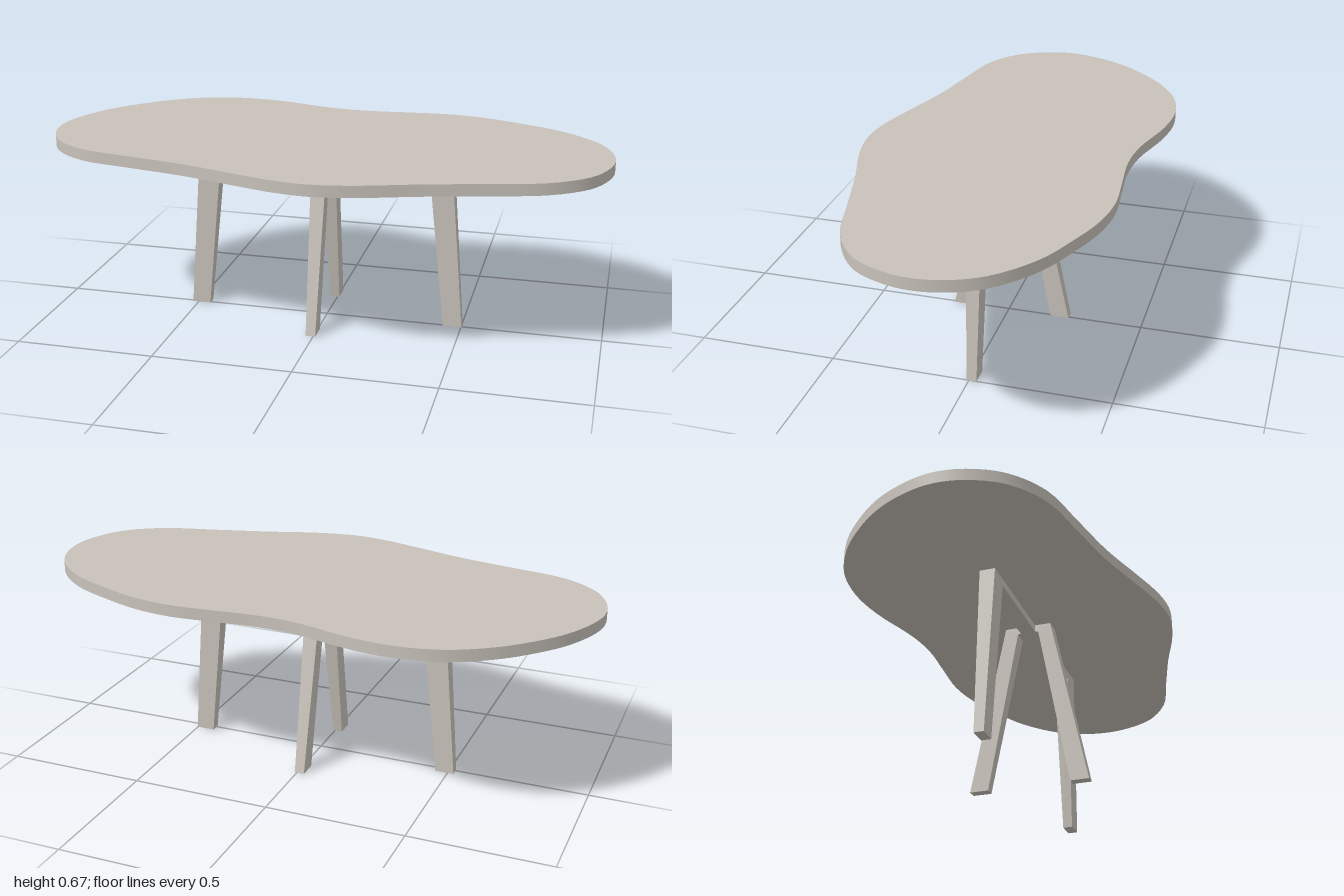
import * as THREE from 'three';
import { toCreasedNormals } from 'three/addons/utils/BufferGeometryUtils.js';

const TOP_Y = 0.667, UNDER_Y = 0.626, BAR_Y = 0.6;

// Wavy freeform slab: outline points are [x, z]
function tabletopGeometry() {
  const outline = [
    [-1, 0.01], [-0.98, -0.09], [-0.92, -0.215], [-0.83, -0.325], [-0.735, -0.41],
    [-0.6, -0.485], [-0.45, -0.512], [-0.3, -0.498], [-0.1, -0.446], [0.04, -0.433],
    [0.2, -0.445], [0.36, -0.456], [0.5, -0.437], [0.65, -0.385], [0.8, -0.315],
    [0.93, -0.2], [0.985, -0.09], [1, 0.01], [0.985, 0.1], [0.93, 0.21],
    [0.8, 0.305], [0.6, 0.363], [0.4, 0.418], [0.2, 0.481], [0.06, 0.502],
    [-0.06, 0.489], [-0.2, 0.451], [-0.4, 0.392], [-0.6, 0.352], [-0.8, 0.308],
    [-0.925, 0.22], [-0.985, 0.11],
  ].map(([x, z]) => new THREE.Vector3(x, -z, 0));
  const curve = new THREE.CatmullRomCurve3(outline, true, 'centripetal');
  const points = curve.getPoints(128).slice(0, -1).map(p => new THREE.Vector2(p.x, p.y));
  const geo = new THREE.ExtrudeGeometry(new THREE.Shape(points.reverse()), {
    depth: TOP_Y - UNDER_Y, bevelEnabled: false,
  });
  geo.rotateX(-Math.PI / 2).translate(0, UNDER_Y, 0);
  return toCreasedNormals(geo, 0.6);
}

// Splayed trestle: two legs joined by a thin bar, narrowing toward the floor
function trestleGeometry(topOuter, footOuter, topInner, footInner) {
  const half = [[footInner, 0], [footOuter, 0], [topOuter, UNDER_Y]];
  const profile = [
    ...half, ...half.map(([x, y]) => [-x, y]).reverse(),
    [-topInner, BAR_Y], [topInner, BAR_Y],
  ];
  const shape = new THREE.Shape(profile.map(([x, y]) => new THREE.Vector2(x, y)));
  const geo = new THREE.ExtrudeGeometry(shape, { depth: 1, bevelEnabled: false });
  geo.translate(0, 0, -0.5);
  const pos = geo.attributes.position;
  for (let i = 0; i < pos.count; i++) {
    const width = THREE.MathUtils.lerp(0.035, 0.056, pos.getY(i) / UNDER_Y);
    pos.setZ(i, pos.getZ(i) * width);
  }
  geo.computeVertexNormals();
  return geo;
}

export function createModel() {
  const group = new THREE.Group();
  group.name = 'table';
  const material = new THREE.MeshStandardMaterial({ color: 0xc8c2ba });
  material.name = 'warm grey';

  const add = (name, geometry) => {
    const mesh = new THREE.Mesh(geometry, material);
    mesh.name = name;
    group.add(mesh);
    return mesh;
  };

  add('tabletop', tabletopGeometry());

  // Crossed trestles: a long one along x and a short one along z
  const longTrestle = add('longTrestle', trestleGeometry(0.46, 0.512, 0.38, 0.444));
  const shortTrestle = add('shortTrestle', trestleGeometry(0.086, 0.22, 0.039, 0.152));
  shortTrestle.rotation.y = Math.PI / 2;
  for (const trestle of [longTrestle, shortTrestle]) trestle.position.set(-0.01, 0, -0.01);

  return group;
}
